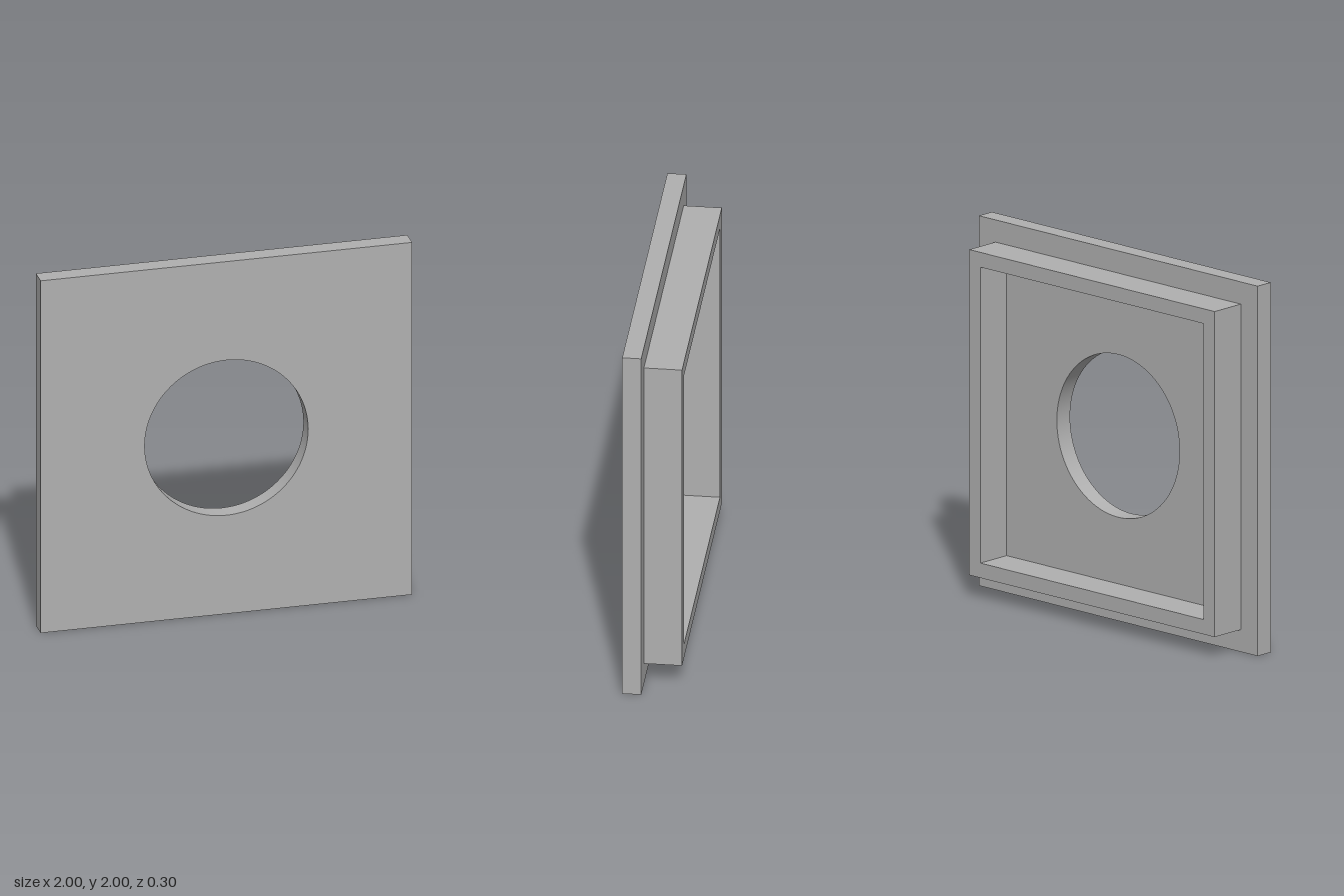
import * as THREE from 'three';
import { toCreasedNormals } from 'three/addons/utils/BufferGeometryUtils.js';

const CENTRE_Y = 1;

// Square outline centred on the origin
function square(half, Type) {
  const s = new Type();
  s.moveTo(-half, -half);
  s.lineTo(half, -half);
  s.lineTo(half, half);
  s.lineTo(-half, half);
  s.closePath();
  return s;
}

// Square plate with one opening, extruded from zBack to zFront
function piercedSquare(name, half, hole, zBack, zFront, material) {
  const shape = square(half, THREE.Shape);
  shape.holes.push(hole);
  const geometry = new THREE.ExtrudeGeometry(shape, {
    depth: zFront - zBack, bevelEnabled: false, curveSegments: 72,
  });
  const mesh = new THREE.Mesh(toCreasedNormals(geometry, Math.PI / 6), material);
  mesh.name = name;
  mesh.position.set(0, CENTRE_Y, zBack);
  return mesh;
}

export function createModel() {
  const group = new THREE.Group();
  group.name = 'coverPlate';

  const grey = new THREE.MeshStandardMaterial({ color: 0xb0b0b0 });
  grey.name = 'grey';

  // Front plate with the round opening
  const roundHole = new THREE.Path();
  roundHole.absarc(0, 0, 0.44, 0, Math.PI * 2, true);
  group.add(piercedSquare('facePlate', 1, roundHole, 0.05, 0.15, grey));

  // Square rim standing off the back of the plate
  group.add(piercedSquare('backRim', 0.88, square(0.8, THREE.Path), -0.15, 0.05, grey));

  return group;
}
